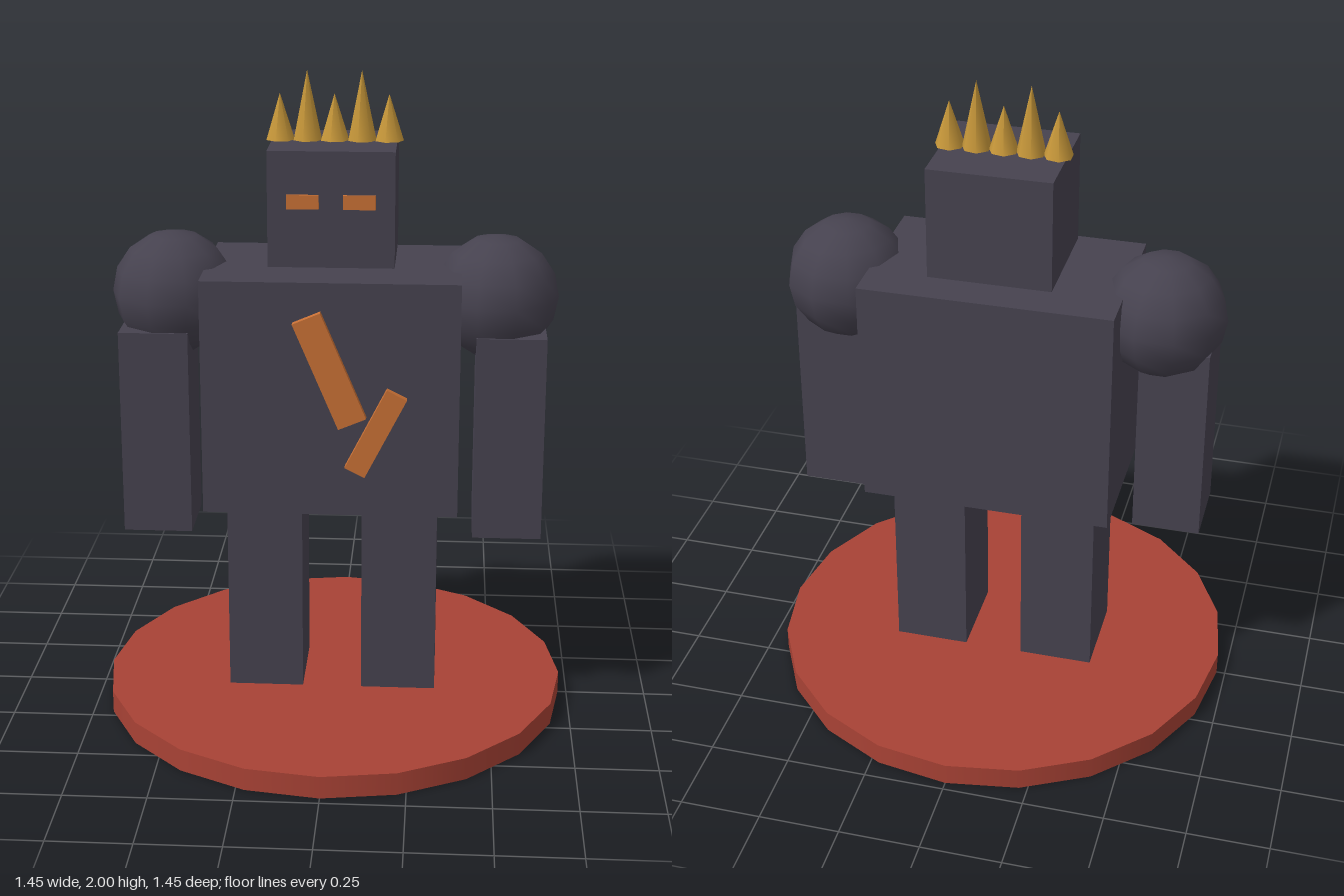
import * as THREE from 'three';

const material = (name, color) => {
  const m = new THREE.MeshStandardMaterial({ color });
  m.name = name;
  return m;
};

export function createModel() {
  const model = new THREE.Group();
  model.name = 'stoneKing';

  const stone = material('dark stone', 0x46424f);
  const clay = material('red clay', 0xa84235);
  const ember = material('ember orange', 0xc87035);
  const gold = material('gold', 0xc8983a);

  const add = (name, geometry, mat, x, y, z) => {
    const mesh = new THREE.Mesh(geometry, mat);
    mesh.name = name;
    mesh.position.set(x, y, z);
    model.add(mesh);
    return mesh;
  };
  const box = (name, mat, w, h, d, x, y, z) =>
    add(name, new THREE.BoxGeometry(w, h, d), mat, x, y, z);

  // Round base
  add('base', new THREE.CylinderGeometry(0.723, 0.723, 0.07, 20), clay, 0, 0.035, 0);

  // Body and floating head
  box('torso', stone, 0.77, 0.722, 0.49, 0, 1.056, 0);
  box('head', stone, 0.374, 0.345, 0.35, 0, 1.618, 0);

  // Paired limbs and eyes
  for (const [side, s] of [['left', 1], ['right', -1]]) {
    box(side + 'Leg', stone, 0.232, 0.63, 0.28, s * 0.208, 0.385, 0);
    box(side + 'Arm', stone, 0.21, 0.635, 0.232, s * 0.537, 0.914, 0.046);
    add(side + 'Shoulder', new THREE.SphereGeometry(0.19, 10, 8), stone, s * 0.49, 1.322, 0);
    box(side + 'Eye', ember, 0.095, 0.042, 0.009, s * 0.083, 1.642, 0.179);
  }

  // Glowing cracks on the chest
  box('longCrack', ember, 0.09, 0.35, 0.025, 0, 1.153, 0.257).rotation.z = 0.4;
  box('shortCrack', ember, 0.067, 0.275, 0.025, 0.138, 0.962, 0.257).rotation.z = -0.47;

  // Crown spikes, alternating short and tall
  for (let i = -2; i <= 2; i++) {
    const height = i % 2 ? 0.207 : 0.138;
    const spike = new THREE.ConeGeometry(0.044, height, 7);
    spike.rotateY(Math.PI / 2);
    add('crownSpike', spike, gold, i * 0.081, 1.793 + height / 2, 0);
  }

  return model;
}
